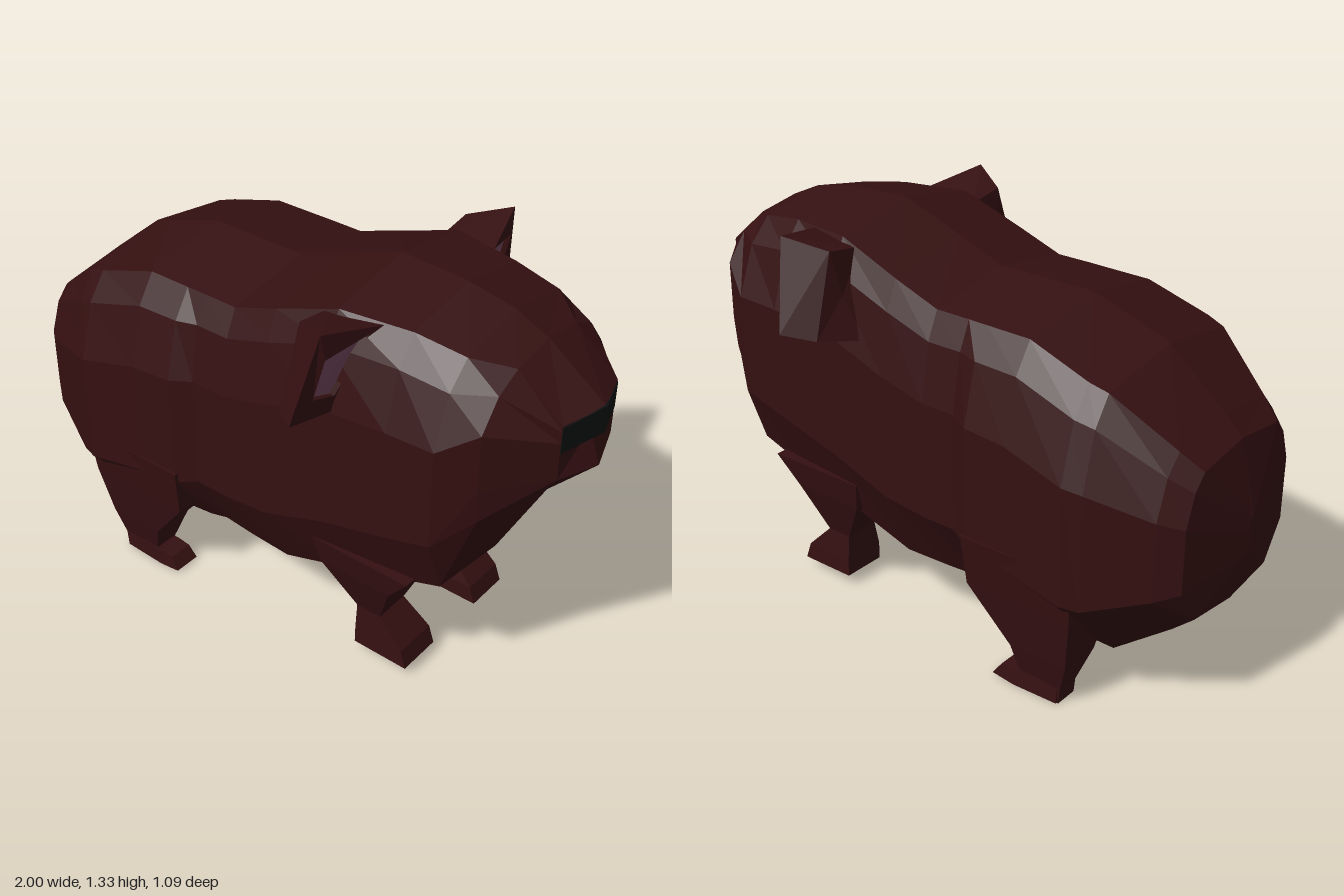
import * as THREE from 'three';

const material = (name, color) => {
  const m = new THREE.MeshStandardMaterial({ color });
  m.name = name;
  return m;
};

// Closed, faceted skin through rings of [x, y, z] points, capped at both ends.
function loft(rings) {
  const tris = [];
  const centre = (r) => [0, 1, 2].map((k) => r.reduce((s, p) => s + p[k], 0) / r.length);
  const n = rings[0].length;
  const first = rings[0], last = rings[rings.length - 1];
  const c0 = centre(first), c1 = centre(last);
  for (let j = 0; j < n; j++) {
    const k = (j + 1) % n;
    for (let i = 0; i < rings.length - 1; i++) {
      const a = rings[i], b = rings[i + 1];
      tris.push([a[j], a[k], b[k]], [a[j], b[k], b[j]]);
    }
    tris.push([c0, first[k], first[j]], [c1, last[j], last[k]]);
  }
  // Turn the skin outward whichever way the rings run
  let volume = 0;
  for (const [a, b, c] of tris) {
    volume += a[0] * (b[1] * c[2] - b[2] * c[1])
      + a[1] * (b[2] * c[0] - b[0] * c[2]) + a[2] * (b[0] * c[1] - b[1] * c[0]);
  }
  if (volume < 0) tris.forEach((t) => t.reverse());
  const g = new THREE.BufferGeometry();
  g.setAttribute('position', new THREE.Float32BufferAttribute(tris.flat(2), 3));
  g.computeVertexNormals();
  return g;
}

// Horizontal rectangle for limbs
const level = (y, x0, x1, z0, z1) => [[x0, y, z0], [x1, y, z0], [x1, y, z1], [x0, y, z1]];

// Body cross-section: flat-topped, full-sided, narrower underneath
function bodyRing([x, top, creaseZ, w, bottom, botZ], taper = 0) {
  const h = top - bottom;
  const side = [
    [top - 0.05 * h, creaseZ],
    [top - 0.14 * h, creaseZ + (w - creaseZ) * 0.55],
    [top - 0.33 * h, w],
    [bottom + 0.28 * h, w],
    [bottom + 0.05 * h, botZ],
  ];
  const half = [[top, 0], ...side, [bottom, 0]];
  const other = side.map(([y, z]) => [y, -z]).reverse();
  return [...half, ...other].map(([y, z]) => [x - taper * Math.abs(z), y, z]);
}

export function createModel() {
  const fur = material('dark brown fur', 0x351011);
  const pink = material('inner ear pink', 0x764a60);
  const black = material('nose black', 0x0d1011);
  const group = new THREE.Group();

  const add = (name, rings, mat) => {
    const mesh = new THREE.Mesh(loft(rings), mat);
    mesh.name = name;
    group.add(mesh);
  };
  const addPair = (name, rings, mat) => {
    add(name + 'Left', rings.map((r) => r.map(([x, y, z]) => [x, y, -z])), mat);
    add(name + 'Right', rings, mat);
  };

  // Body and head: x, top, crease half-width, half-width, bottom, belly half-width
  const sections = [
    [-1, 0.65, 0.01, 0.01, 0.52, 0.01],
    [-0.945, 0.88, 0.2, 0.28, 0.35, 0.2],
    [-0.88, 0.94, 0.23, 0.33, 0.29, 0.21],
    [-0.69, 1.1, 0.3, 0.41, 0.13, 0.22],
    [-0.63, 1.12, 0.31, 0.43, 0.13, 0.22],
    [-0.42, 1.19, 0.3, 0.415, 0.15, 0.24],
    [-0.27, 1.19, 0.3, 0.41, 0.18, 0.25],
    [-0.2, 1.19, 0.3, 0.375, 0.2, 0.25],
    [-0.08, 1.19, 0.3, 0.375, 0.2, 0.26],
    [0.08, 1.25, 0.3, 0.375, 0.2, 0.27],
    [0.3, 1.33, 0.29, 0.375, 0.28, 0.28],
    [0.53, 1.32, 0.25, 0.375, 0.37, 0.29],
    [0.69, 1.29, 0.23, 0.37, 0.44, 0.3],
    [0.8, 1.24, 0.15, 0.31, 0.76, 0.3],
  ].map((s) => bodyRing(s));
  const muzzle = bodyRing([0.997, 1.1, 0.145, 0.145, 0.9, 0.145], 0.33);
  add('body', [...sections, muzzle], fur);

  // Nose: thin plate folded over the front of the muzzle
  add('nose', [[-0.145, 0.95, 1.0, 1.085], [0, 1.0, 1.015, 1.103], [0.145, 0.95, 1.0, 1.085]]
    .map(([z, x, lo, hi]) => [[x - 0.007, lo, z], [x + 0.001, lo, z], [x + 0.001, hi, z], [x - 0.007, hi, z]]),
  black);

  // Hind legs, tapering from the haunch
  addPair('hindLeg', [
    level(0.5, -0.66, -0.26, 0.15, 0.42),
    level(0.33, -0.65, -0.27, 0.17, 0.4),
    level(0.15, -0.62, -0.415, 0.22, 0.37),
    level(0.05, -0.59, -0.44, 0.27, 0.35),
    level(0, -0.585, -0.43, 0.27, 0.35),
  ], fur);
  addPair('hindFoot', [
    [[-0.58, 0, 0.27], [-0.58, 0, 0.355], [-0.58, 0.06, 0.35], [-0.58, 0.06, 0.275]],
    [[-0.42, 0, 0.265], [-0.42, 0, 0.36], [-0.42, 0.058, 0.355], [-0.42, 0.058, 0.27]],
    [[-0.34, 0.01, 0.265], [-0.34, 0.01, 0.36], [-0.37, 0.052, 0.355], [-0.37, 0.052, 0.27]],
  ], fur);

  // Front legs with forward-sloping paws
  addPair('frontLeg', [
    level(0.46, 0.24, 0.6, 0.03, 0.34),
    level(0.36, 0.26, 0.52, 0.04, 0.32),
    level(0.19, 0.36, 0.45, 0.135, 0.26),
    level(0.1, 0.36, 0.54, 0.115, 0.268),
    level(0.04, 0.36, 0.56, 0.115, 0.27),
  ], fur);

  // Ears: wedge opening forward, with a sunken inner face
  const earFront = [[0.38, 1.31, 0.47], [0.33, 1.03, 0.545], [0.34, 0.99, 0.36], [0.44, 1.27, 0.27]];
  const earInset = [[0.38, 1.225, 0.455], [0.345, 1.085, 0.465], [0.345, 1.05, 0.37], [0.41, 1.245, 0.3]];
  const shift = (ring, dx) => ring.map(([x, y, z]) => [x + dx, y, z]);
  addPair('ear', [
    [[0.25, 1.27, 0.4], [0.24, 1.01, 0.48], [0.17, 0.99, 0.35], [0.25, 1.25, 0.27]],
    earFront,
    shift(earInset, 0.004),
    shift(earInset, -0.02),
  ], fur);
  addPair('innerEar', [shift(earInset, -0.022), shift(earInset, -0.014)], pink);

  return group;
}
